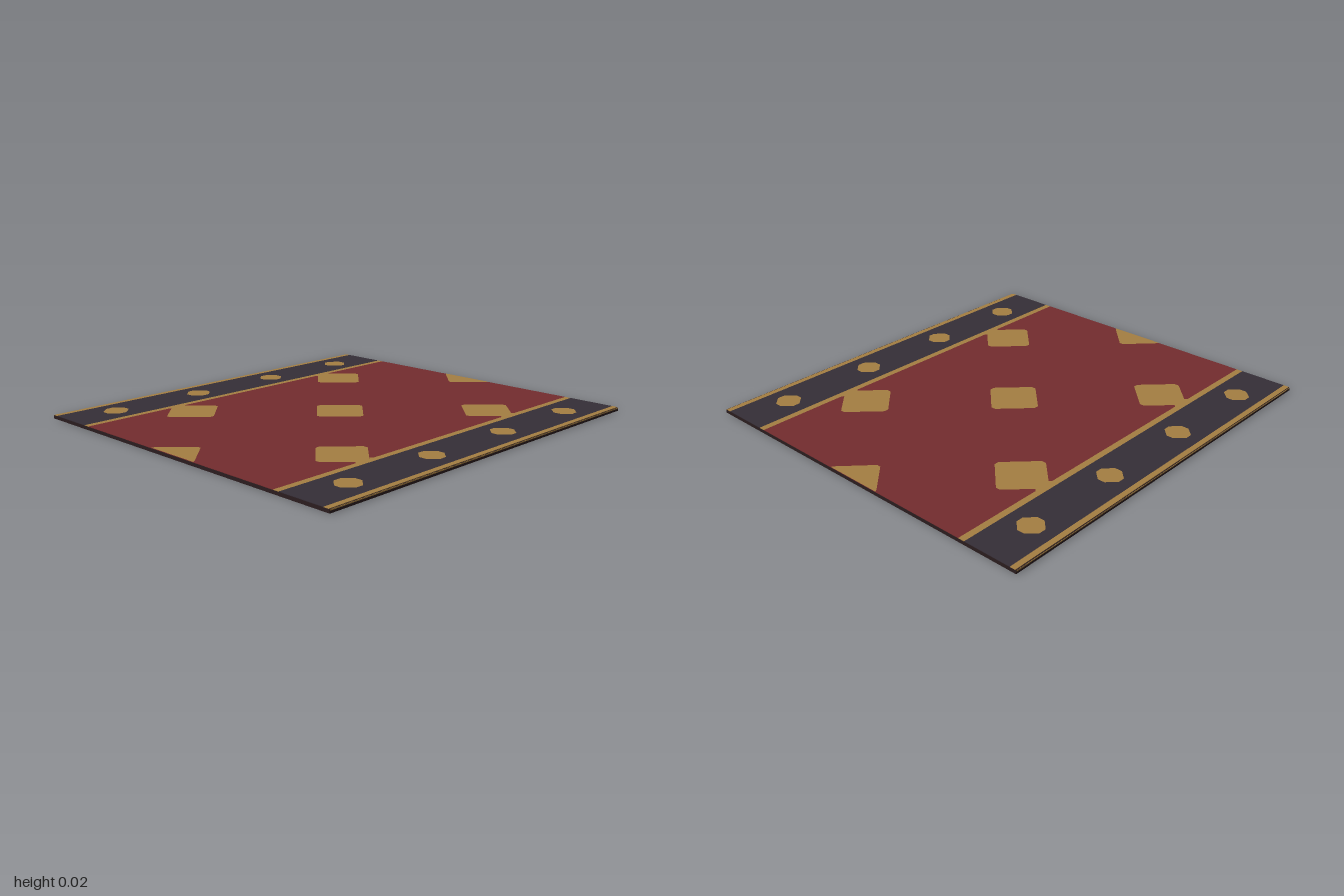
import * as THREE from 'three';

const mat = (name, color) => {
  const m = new THREE.MeshStandardMaterial({ color });
  m.name = name;
  return m;
};

export function createModel() {
  const rug = new THREE.Group();
  rug.name = 'rug';
  const red = mat('deep red', 0x742c2e);
  const gold = mat('old gold', 0xa47e42);
  const dark = mat('dark plum', 0x352e37);
  const backing = mat('dark backing', 0x2b1d1f);

  const add = (name, geometry, material, x, y, z) => {
    const mesh = new THREE.Mesh(geometry, material);
    mesh.name = name;
    mesh.position.set(x, y, z);
    rug.add(mesh);
  };

  // Woven body
  add('backing', new THREE.BoxGeometry(2, 0.016, 1.848), backing, 0, 0.008, 0);

  // Flat bands of pile across the full width, from z0 to z1
  const band = (name, z0, z1, material) =>
    add(name, new THREE.BoxGeometry(1.998, 0.002, Math.abs(z1 - z0)), material, 0, 0.017, (z0 + z1) / 2);
  band('field', -0.625, 0.625, red);

  // Flat motif lying on the pile
  const motif = (name, points, x, z) => {
    const shape = new THREE.Shape(points.map(([px, pz]) => new THREE.Vector2(px, -pz)));
    add(name, new THREE.ShapeGeometry(shape).rotateX(-Math.PI / 2), gold, x, 0.019, z);
  };
  // Diamond with half size r and blunt tips of half width t
  const diamond = (r, t) => [
    [t, r], [r, t], [r, -t], [t, -r], [-t, -r], [-r, -t], [-r, t], [-t, r],
  ];

  for (const s of [-1, 1]) {
    // Border stripes, mirrored at both ends
    band('innerStripe', s * 0.625, s * 0.657, gold);
    band('border', s * 0.657, s * 0.892, dark);
    band('outerStripe', s * 0.892, s * 0.919, gold);
    add('edgeBinding', new THREE.BoxGeometry(1.998, 0.005, 0.002), gold, 0, 0.0135, s * 0.924);

    for (const x of [-0.75, -0.25, 0.25, 0.75]) {
      motif('borderDiamond', diamond(0.06, 0.018), x, s * 0.775);
    }
    for (const x of [-0.5, 0.5]) {
      motif('fieldDiamond', diamond(0.144, 0.012), x, s * 0.5);
      // Flared joint between diamond and stripe
      motif('diamondJoint', [[-0.04, s * -0.022], [0.04, s * -0.022], [0.04, s * -0.01],
        [0.055, s * 0.002], [-0.055, s * 0.002], [-0.04, s * -0.01]], x, s * 0.625);
    }
    // Half diamonds cut by the side edges
    motif('sideDiamond', [[0, 0.144], [-s * 0.012, 0.138], [-s * 0.144, 0.01],
      [-s * 0.144, -0.01], [-s * 0.012, -0.138], [0, -0.144]], s * 0.999, 0);
  }
  motif('centreDiamond', diamond(0.144, 0.012), 0, 0);

  // Shapes wound either way show from above
  gold.side = THREE.DoubleSide;
  return rug;
}
